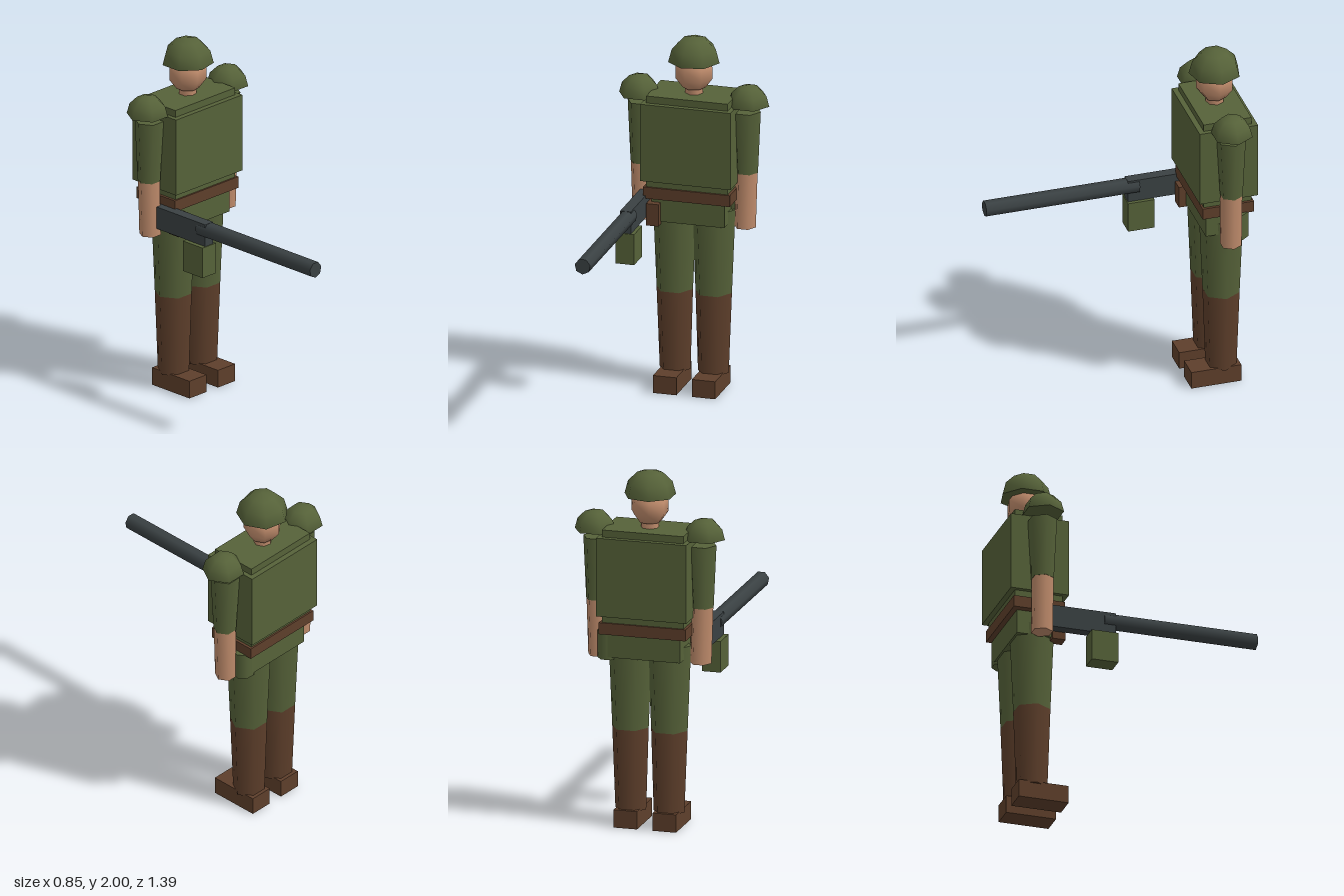
import * as THREE from 'three';

const mat = (name, color) => {
  const m = new THREE.MeshStandardMaterial({ color });
  m.name = name;
  return m;
};

export function createModel() {
  const group = new THREE.Group();
  const green = mat('olive green', 0x566239);
  const skin = mat('skin', 0xc08c6c);
  const brown = mat('brown leather', 0x5e3f2b);
  const gunmetal = mat('gunmetal', 0x3a4143);
  const Z = -0.53; // depth of the body's middle

  const add = (name, geometry, material) => {
    const mesh = new THREE.Mesh(geometry, material);
    mesh.name = name;
    group.add(mesh);
    return mesh;
  };

  // Box given by its lower and upper limits on each axis
  const box = (name, material, [x0, x1], [y0, y1], [z0, z1]) =>
    add(name, new THREE.BoxGeometry(x1 - x0, y1 - y0, z1 - z0), material)
      .position.set((x0 + x1) / 2, (y0 + y1) / 2, (z0 + z1) / 2);

  // Six-sided tapered limb leaning from (x0, y0) up to (x1, y1)
  const limb = (name, material, x0, y0, r0, x1, y1, r1) => {
    const h = y1 - y0;
    const g = new THREE.CylinderGeometry(r1, r0, h, 6).rotateY(Math.PI / 2);
    const p = g.attributes.position;
    for (let i = 0; i < p.count; i++) {
      const t = p.getY(i) / h + 0.5;
      p.setX(i, p.getX(i) + x0 + (x1 - x0) * t);
    }
    add(name, g, material).position.set(0, (y0 + y1) / 2, Z);
  };

  // Closed half sphere with its flat side down
  const dome = (name, r, sides, x, y, turn) => {
    const top = add(name, new THREE.SphereGeometry(r, sides, 3, 0, Math.PI * 2, 0, Math.PI / 2), green);
    top.position.set(x, y, Z);
    top.rotation.y = turn;
    const base = new THREE.CircleGeometry(r, sides).rotateZ(Math.PI).rotateX(Math.PI / 2);
    const cap = new THREE.Mesh(base, green);
    cap.name = name + 'Underside';
    top.add(cap);
  };

  // Head, neck and helmet
  const head = add('head', new THREE.SphereGeometry(0.108, 7, 5), skin);
  head.position.set(0, 1.8, Z);
  head.rotation.y = Math.PI;
  add('neck', new THREE.CylinderGeometry(0.05, 0.05, 0.12, 7).rotateY(Math.PI / 2), skin)
    .position.set(0, 1.7, Z);
  dome('helmet', 0.143, 7, 0, 1.86, Math.PI);

  // Trunk
  box('torso', green, [-0.23, 0.23], [1.15, 1.68], [-0.665, -0.395]);
  box('vest', green, [-0.255, 0.255], [1.2, 1.64], [-0.695, -0.365]);
  box('belt', brown, [-0.245, 0.245], [1.095, 1.16], [-0.675, -0.385]);
  box('pelvis', green, [-0.205, 0.205], [0.96, 1.1], [-0.645, -0.415]);

  // Arms, legs and feet
  for (const s of [-1, 1]) {
    dome('shoulderPad', 0.115, 6, s * 0.309, 1.64, 0);
    limb('upperArm', green, s * 0.297, 1.255, 0.063, s * 0.295, 1.605, 0.081);
    limb('forearm', skin, s * 0.288, 0.94, 0.06, s * 0.297, 1.255, 0.061);
    limb('thigh', green, s * 0.11, 0.55, 0.103, s * 0.11, 1.03, 0.123);
    limb('bootLeg', brown, s * 0.108, 0.09, 0.087, s * 0.11, 0.55, 0.103);
    const x = s * 0.11;
    box('foot', brown, [x - 0.066, x + 0.066], [0, 0.1], [-0.625, -0.342]);
  }

  // Items hanging from the belt
  box('pouch', brown, [-0.225, -0.155], [0.945, 1.07], [-0.45, -0.375]);
  add('canteen', new THREE.CylinderGeometry(0.06, 0.06, 0.155, 7), green)
    .position.set(0.215, 1.022, -0.59);

  // Gun
  box('receiver', gunmetal, [-0.29, -0.23], [0.985, 1.112], [-0.5, -0.11]);
  add('barrel', new THREE.CylinderGeometry(0.045, 0.045, 0.87, 7).rotateX(Math.PI / 2), gunmetal)
    .position.set(-0.257, 1.07, 0.26);
  box('magazine', green, [-0.315, -0.21], [0.81, 0.985], [-0.255, -0.105]);

  return group;
}
